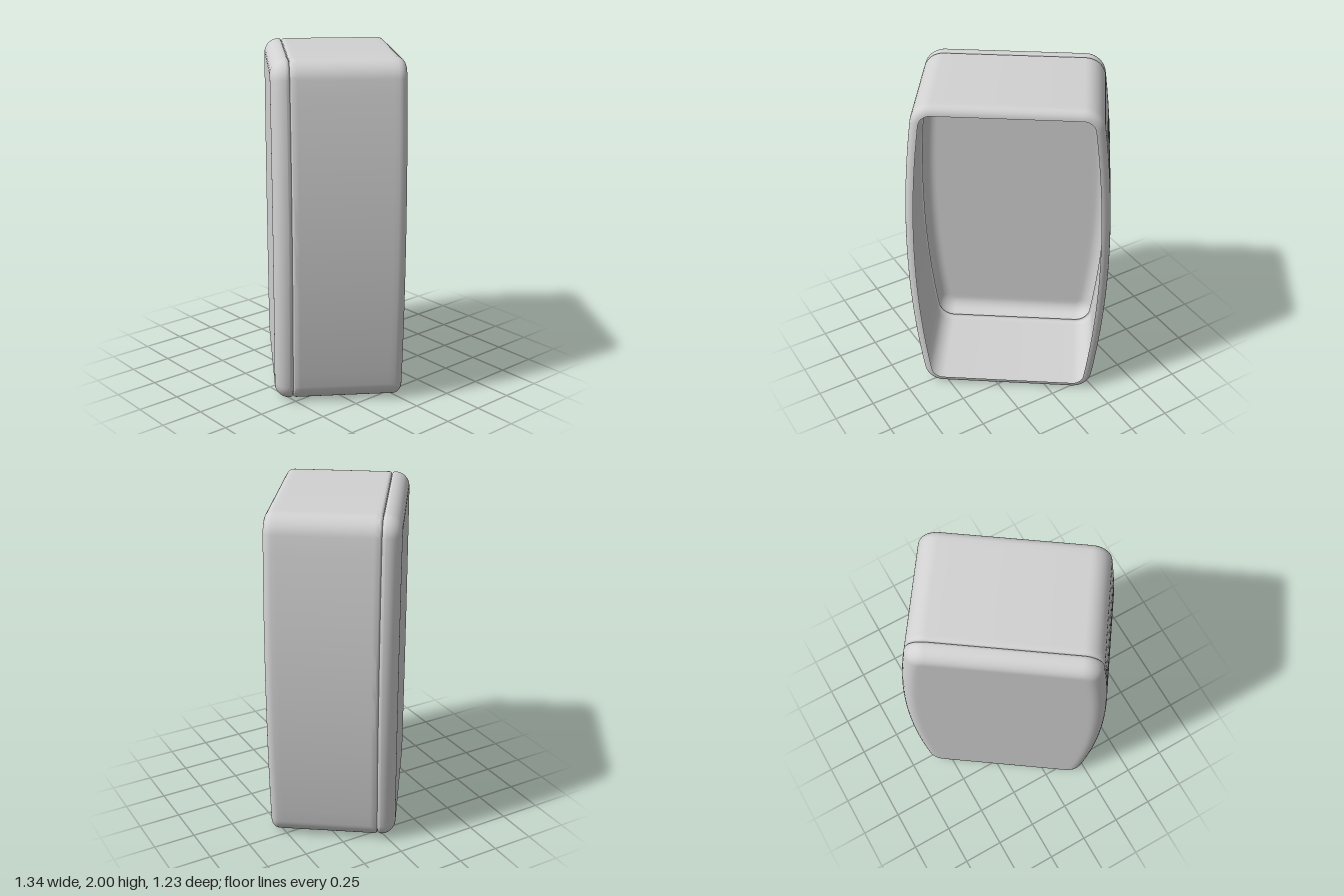
import * as THREE from 'three';
import { toCreasedNormals } from 'three/addons/utils/BufferGeometryUtils.js';

// Barrel-sided rounded rectangle, moved inwards by `inset`: [x, y] points, anticlockwise
function outline(inset) {
  const R = 6.3, r = 0.12, cx = 0.405, cy = 0.88, half = 0.588;
  const join = Math.atan2(cy, cx - half + R);
  const quarter = [];
  for (let i = 0; i < 10; i++) { // bowed side
    const a = join * i / 10;
    quarter.push([half - R + (R - inset) * Math.cos(a), (R - inset) * Math.sin(a)]);
  }
  for (let i = 0; i <= 10; i++) { // round corner
    const a = join + (Math.PI / 2 - join) * i / 10;
    quarter.push([cx + (r - inset) * Math.cos(a), cy + (r - inset) * Math.sin(a)]);
  }
  const top = [...quarter, ...quarter.slice().reverse().map(([x, y]) => [-x, y])];
  const bottom = top.slice(1, -1).map(([x, y]) => [x, -y]).reverse();
  return [...top, ...bottom];
}

// Sweeps a profile of [inset, z] around the outline; a null inset closes to the centre
function sweep(profile) {
  const rings = profile.map(([inset, z]) =>
    outline(inset ?? 0).map(([x, y]) => inset === null ? [0, 0, z] : [x, y, z]));
  const pos = [];
  const n = rings[0].length;
  for (let j = 0; j < rings.length - 1; j++) {
    for (let i = 0; i < n; i++) {
      const k = (i + 1) % n;
      const a = rings[j][i], b = rings[j][k], c = rings[j + 1][k], d = rings[j + 1][i];
      pos.push(...a, ...b, ...c);
      if (profile[j + 1][0] !== null) pos.push(...a, ...c, ...d);
    }
  }
  const g = new THREE.BufferGeometry();
  g.setAttribute('position', new THREE.Float32BufferAttribute(pos, 3));
  return toCreasedNormals(g, 0.7);
}

// Arc in profile space
function arc(ci, cz, r, from, to, steps) {
  return Array.from({ length: steps + 1 }, (_, s) => {
    const a = from + (to - from) * s / steps;
    return [ci - r * Math.cos(a), cz + r * Math.sin(a)];
  });
}

export function createModel() {
  const grey = new THREE.MeshStandardMaterial({ color: 0xd2d2d2, side: THREE.DoubleSide });
  grey.name = 'plain grey';
  const q = Math.PI / 2;
  const model = new THREE.Group();
  model.name = 'roundedCase';
  const add = (name, profile) => {
    const mesh = new THREE.Mesh(sweep(profile), grey);
    mesh.name = name;
    model.add(mesh);
  };

  // Thin open sleeve with a rolled rear rim and a small front lip
  add('sleeve', [
    ...arc(0.05, -0.31, 0.05, -q, 0, 6),
    [0, -0.28], [0, 0.24],
    ...arc(0.018, 0.262, 0.018, 0, q, 4),
  ]);

  // Thin dished front cover with a round outer edge
  add('frontCover', [
    ...arc(0.018, 0.298, 0.018, -q, 0, 4),
    ...arc(0.085, 0.3, 0.085, 0, q, 10),
    [0.105, 0.385], [null, 0.385],
  ]);

  model.rotation.y = THREE.MathUtils.degToRad(-35);
  model.position.y = 1;
  const root = new THREE.Group();
  root.name = 'case';
  root.add(model);
  return root;
}
